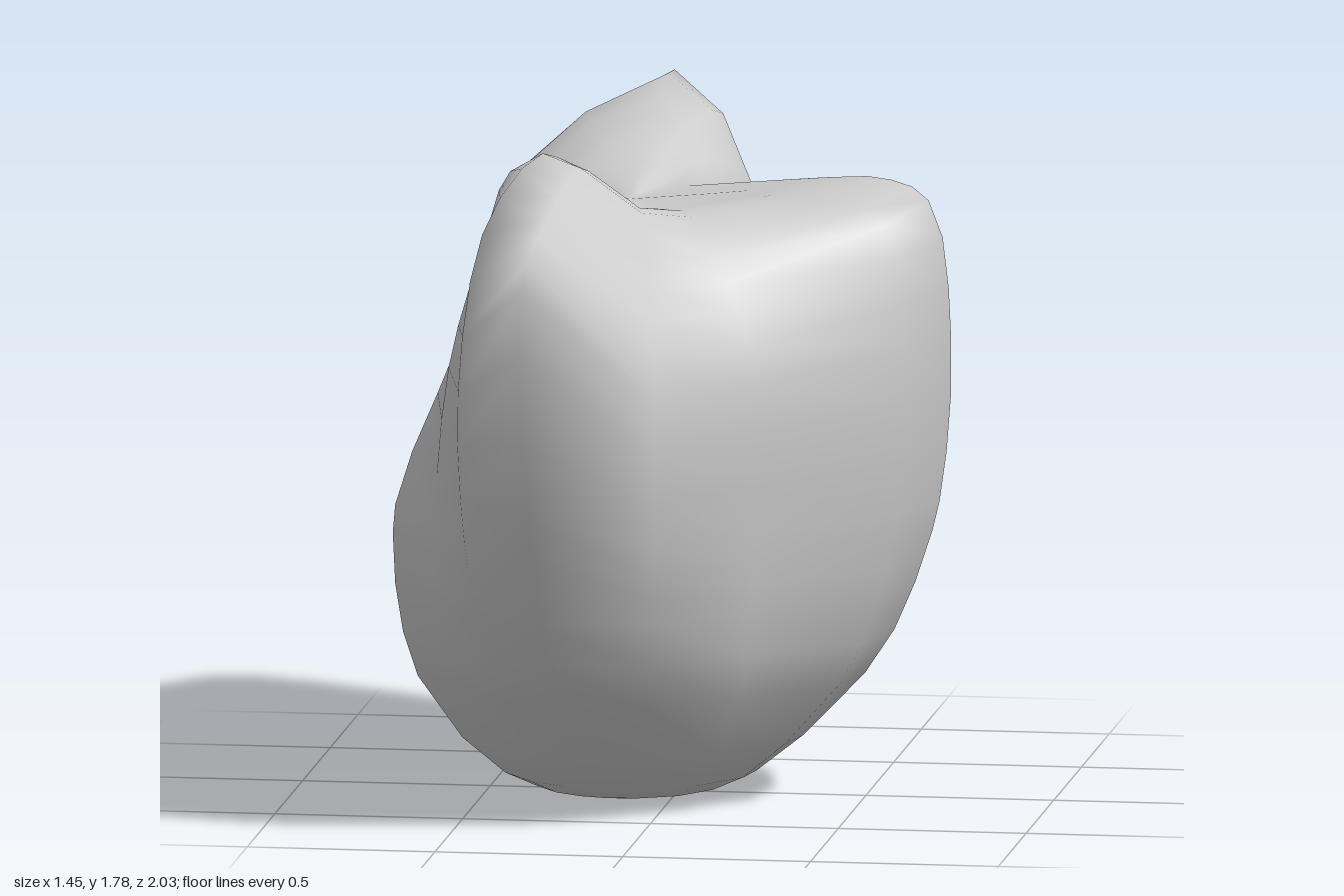
import * as THREE from 'three';
import { mergeVertices } from 'three/addons/utils/BufferGeometryUtils.js';

const CX = -0.13, CROWN = 1.58;

// Round bowl of the underside: [height, radius]
const BOWL = [[0, 0], [0, 0.14], [0.02, 0.25], [0.06, 0.34], [0.16, 0.47], [0.33, 0.66], [0.45, 0.78], [0.58, 0.9]];

// Spokes around the body: x, z, then edge, rim and ridge, each as share of reach and height
const SPOKES = [
  // back lobe
  [-0.14, -1.0, 1, 1.57, 0.88, 1.77, 0.5, 1.72],
  [0.02, -0.91, 1, 1.4, 0.88, 1.67, 0.5, 1.67],
  [0.13, -0.82, 1, 1.25, 0.84, 1.52, 0.5, 1.61],
  // valley
  [0.19, -0.4, 1, 1.18, 0.8, 1.42, 0.5, 1.58],
  // side lobe
  [0.62, -0.25, 1, 1.3, 0.92, 1.56, 0.6, 1.62],
  [0.73, 0.02, 1, 1.23, 0.93, 1.6, 0.74, 1.66],
  [0.65, 0.28, 1, 1.25, 0.92, 1.57, 0.62, 1.63],
  // valley
  [0.28, 0.5, 1, 1.18, 0.78, 1.43, 0.5, 1.58],
  // front lobe
  [0.06, 0.85, 1, 1.2, 0.88, 1.48, 0.5, 1.62],
  [-0.27, 1.0, 1, 1.5, 0.76, 1.66, 0.45, 1.74],
  [-0.47, 0.82, 0.99, 1.2, 0.85, 1.6, 0.5, 1.77],
  [-0.6, 0.52, 0.88, 1.2, 0.72, 1.5, 0.58, 1.7],
  // shallow outer valley
  [-0.74, 0.26, 0.7, 1.22, 0.62, 1.4, 0.48, 1.56],
  [-0.68, 0.01, 0.78, 1.2, 0.66, 1.33, 0.42, 1.48],
  [-0.74, -0.24, 0.73, 1.2, 0.65, 1.34, 0.46, 1.48],
  // back lobe, outer flank
  [-0.62, -0.53, 0.93, 1.2, 0.78, 1.55, 0.5, 1.6],
  [-0.4, -0.82, 1, 1.35, 0.89, 1.66, 0.5, 1.68],
];

// Profile of one spoke as [share of reach, height], from the bottom centre to the crown centre
function profile([x, z, edgeR, edgeY, rimR, rimY, ridgeR, ridgeY]) {
  const { lerp } = THREE.MathUtils;
  const reach = Math.hypot(x - CX, z);
  // The bowl fades softly into the reach of the spoke
  const base = BOWL.map(([y, r]) => [r / Math.pow(reach ** 5 + r ** 5, 0.2), y]);
  const [baseR, baseY] = base.at(-1);
  const knots = [
    [baseR, baseY],
    [Math.max(baseR, lerp(baseR, edgeR, 0.67)), lerp(baseY, edgeY, 0.33)],
    [edgeR, edgeY], [rimR, rimY], [ridgeR, ridgeY],
    [ridgeR / 2, lerp(ridgeY, CROWN, 0.6)],
    [0, CROWN],
  ].map(([r, y]) => new THREE.Vector3(r, y, 0));
  const upper = new THREE.CatmullRomCurve3(knots, false, 'centripetal').getPoints((knots.length - 1) * 3);
  return [...base, ...upper.slice(1).map((p) => [p.x, p.y])];
}

function lobedBody() {
  const positions = [], index = [];
  const n = SPOKES.length;
  const profiles = SPOKES.map(profile);
  const rows = profiles[0].length;
  profiles.forEach((points, i) => {
    const [x, z] = SPOKES[i];
    for (const [r, y] of points) positions.push(CX + (x - CX) * r, y, z * r);
  });
  for (let i = 0; i < n; i++) {
    for (let j = 0; j < rows - 1; j++) {
      const a = i * rows + j, b = ((i + 1) % n) * rows + j;
      if (j < rows - 2) index.push(a, a + 1, b + 1);
      if (j > 0) index.push(a, b + 1, b);
    }
  }
  const geometry = new THREE.BufferGeometry();
  geometry.setAttribute('position', new THREE.Float32BufferAttribute(positions, 3));
  geometry.setIndex(index);
  // Join the centre points so the shading stays smooth
  const merged = mergeVertices(geometry, 1e-4);
  merged.computeVertexNormals();
  return merged;
}

export function createModel() {
  const group = new THREE.Group();
  group.name = 'lobedForm';
  const body = new THREE.Mesh(lobedBody(), new THREE.MeshStandardMaterial({ color: 0xcccccc }));
  body.name = 'lobedBody';
  group.add(body);
  return group;
}
